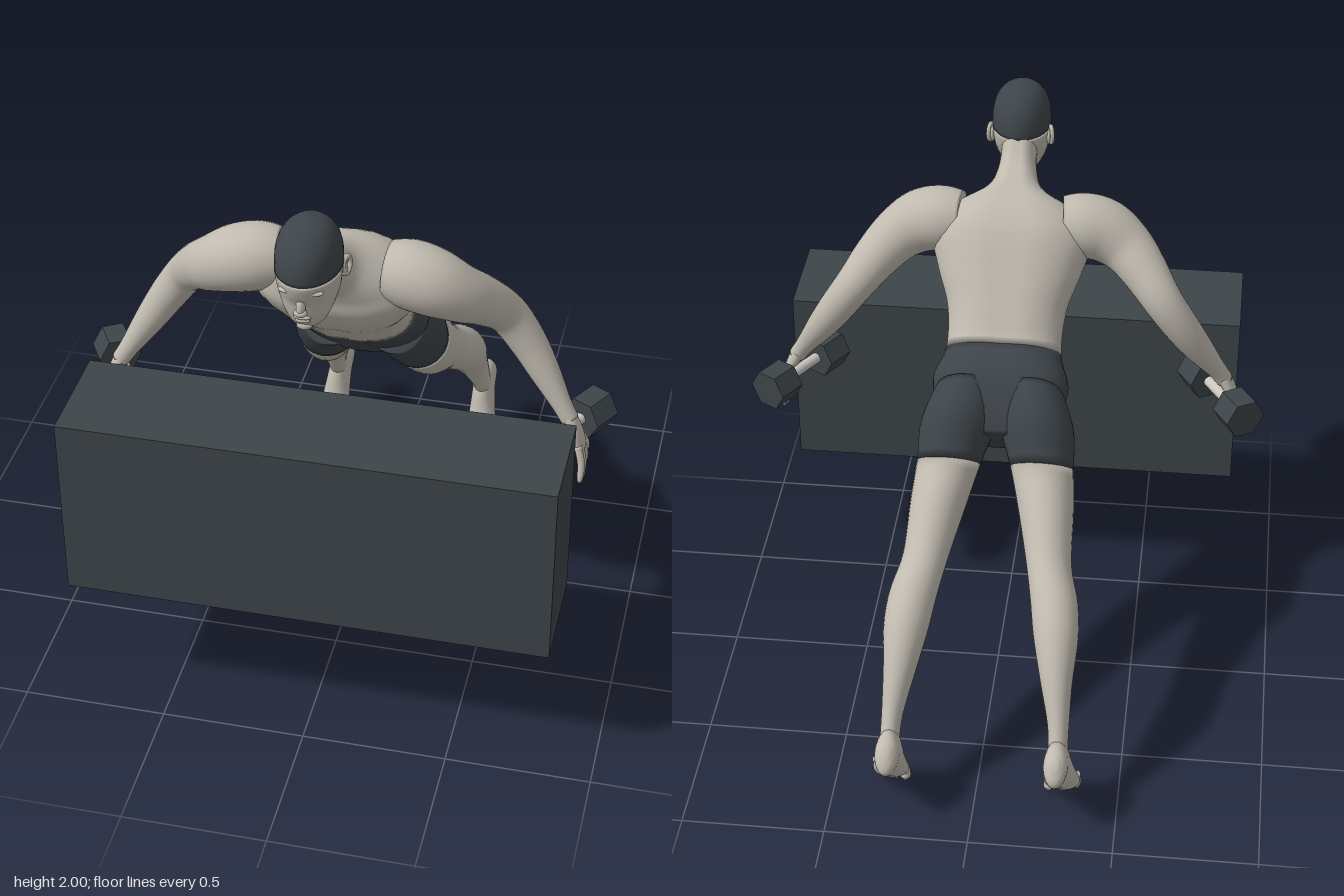
import * as THREE from 'three';

const skin = new THREE.MeshStandardMaterial({ color: 0xc0baaf });
skin.name = 'skin';
const dark = new THREE.MeshStandardMaterial({ color: 0x3e454a });
dark.name = 'dark slate';
const metal = new THREE.MeshStandardMaterial({ color: 0xcac6bf });
metal.name = 'pale metal';

const K = 5; // interpolated steps between two given rows
const SEG = 32;

// Catmull-Rom interpolation of rows of numbers
function smooth(rows) {
  const out = [];
  for (let i = 0; i < rows.length - 1; i++) {
    const p0 = rows[Math.max(i - 1, 0)], p1 = rows[i], p2 = rows[i + 1];
    const p3 = rows[Math.min(i + 2, rows.length - 1)];
    for (let k = 0; k < K; k++) {
      const t = k / K;
      out.push(p1.map((b, j) => {
        const a = p0[j], c = p2[j], d = p3[j];
        return 0.5 * (2 * b + (c - a) * t + (2 * a - 5 * b + 4 * c - d) * t * t + (3 * b - a - 3 * c + d) * t * t * t);
      }));
    }
  }
  out.push(rows[rows.length - 1]);
  return out;
}

// Closed skin over rings {c, u, v}; u x v points along the loft
function loft(rings, power = 1, groove = 0) {
  const pos = [], index = [], p = new THREE.Vector3();
  const bend = (x) => Math.sign(x) * Math.abs(x) ** power;
  for (const { c, u, v } of rings) {
    for (let i = 0; i < SEG; i++) {
      const a = (i / SEG) * Math.PI * 2;
      const side = Math.cos(a), face = Math.sin(a);
      const dent = 1 - groove * Math.exp(-((side / 0.22) ** 2)) * (face < 0 ? 1 : 0.6);
      p.copy(c).addScaledVector(u, bend(side)).addScaledVector(v, bend(face) * dent);
      pos.push(p.x, p.y, p.z);
    }
  }
  for (let r = 0; r < rings.length - 1; r++) {
    for (let i = 0; i < SEG; i++) {
      const a = r * SEG + i, b = r * SEG + (i + 1) % SEG;
      index.push(a, b, b + SEG, a, b + SEG, a + SEG);
    }
  }
  const last = (rings.length - 1) * SEG, n = rings.length * SEG;
  pos.push(...rings[0].c.toArray(), ...rings[rings.length - 1].c.toArray());
  for (let i = 0; i < SEG; i++) {
    const j = (i + 1) % SEG;
    index.push(n, j, i, n + 1, last + i, last + j);
  }
  const g = new THREE.BufferGeometry();
  g.setAttribute('position', new THREE.Float32BufferAttribute(pos, 3));
  g.setIndex(index);
  g.computeVertexNormals();
  return g;
}

// Rows: back z, back y, front z, front y, centre x, half width
function bodyRings(rows, s = 1) {
  return smooth(rows).map(([zb, yb, zf, yf, cx, hw]) => ({
    c: new THREE.Vector3(cx * s, (yb + yf) / 2, (zb + zf) / 2),
    u: new THREE.Vector3(hw, 0, 0),
    v: new THREE.Vector3(0, (yf - yb) / 2, (zf - zb) / 2),
  }));
}

// Rows: x, y, z, radius across z, radius across x
function limb(rows, s) {
  const pts = smooth(rows);
  const c = pts.map((r) => new THREE.Vector3(r[0] * s, r[1], r[2]));
  return loft(pts.map((r, i) => {
    const d = c[Math.min(i + 1, c.length - 1)].clone().sub(c[Math.max(i - 1, 0)]).normalize();
    const u = new THREE.Vector3(0, 0, 1).addScaledVector(d, -d.z).normalize();
    const v = d.clone().cross(u);
    return { c: c[i], u: u.multiplyScalar(r[3]), v: v.multiplyScalar(r[4] ?? r[3]) };
  }));
}

export function createModel() {
  const model = new THREE.Group();
  model.name = 'athleteAtBox';
  const add = (name, geometry, material, parent = model) => {
    const m = new THREE.Mesh(geometry, material);
    m.name = name;
    parent.add(m);
    return m;
  };
  const blob = (name, x, y, z, rx, ry, rz, tilt = 0) => {
    const m = add(name, new THREE.SphereGeometry(1, 20, 14), skin);
    m.position.set(x, y, z);
    m.scale.set(rx, ry, rz);
    m.rotation.x = tilt;
  };

  // Large box in front
  add('box', new THREE.BoxGeometry(1.66, 0.68, 0.38), dark).position.set(0, 0.83, 0.76);

  // Neck, torso and pelvis, split at the waistband
  const trunk = bodyRings([
    [0.67, 1.86, 0.79, 1.72, 0, 0.062],
    [0.60, 1.79, 0.70, 1.655, 0, 0.07],
    [0.51, 1.76, 0.63, 1.61, 0, 0.105],
    [0.42, 1.735, 0.60, 1.55, 0, 0.22],
    [0.33, 1.67, 0.585, 1.48, 0, 0.285],
    [0.24, 1.545, 0.52, 1.39, 0, 0.255],
    [0.17, 1.44, 0.41, 1.295, 0, 0.212],
    [0.10, 1.345, 0.26, 1.165, 0, 0.205],
    [0.00, 1.295, 0.15, 1.07, 0, 0.24],
    [-0.07, 1.18, 0.07, 0.99, 0, 0.20],
    [-0.10, 1.10, 0.02, 0.95, 0, 0.10],
  ]);
  add('torso', loft(trunk.slice(0, 7 * K + 1), 0.9, 0.07), skin);
  add('shortsPelvis', loft(trunk.slice(7 * K), 0.9, 0.07), dark);

  // Head, split at the hairline
  const head = bodyRings([
    [0.79, 2.0, 0.81, 2.0, 0, 0.008],
    [0.735, 1.985, 0.87, 1.985, 0, 0.055],
    [0.695, 1.95, 0.912, 1.95, 0, 0.087],
    [0.668, 1.90, 0.942, 1.90, 0, 0.103],
    [0.66, 1.84, 0.95, 1.835, 0, 0.106],
    [0.672, 1.80, 0.938, 1.79, 0, 0.102],
    [0.70, 1.76, 0.918, 1.75, 0, 0.096],
    [0.735, 1.71, 0.905, 1.70, 0, 0.080],
    [0.77, 1.67, 0.885, 1.655, 0, 0.058],
    [0.80, 1.645, 0.86, 1.632, 0, 0.028],
  ]);
  add('hairCap', loft(head.slice(0, 4 * K + 1)), dark);
  add('face', loft(head.slice(4 * K)), skin);
  blob('nose', 0, 1.748, 0.92, 0.015, 0.036, 0.018, -0.2);
  blob('noseTip', 0, 1.728, 0.925, 0.022, 0.014, 0.017);
  blob('upperLip', 0, 1.699, 0.904, 0.028, 0.008, 0.011);
  blob('lowerLip', 0, 1.684, 0.899, 0.024, 0.008, 0.010);
  blob('chin', 0, 1.652, 0.876, 0.026, 0.017, 0.017);

  for (const s of [1, -1]) {
    const side = s > 0 ? 'left' : 'right';

    blob(side + 'Brow', 0.04 * s, 1.805, 0.918, 0.032, 0.01, 0.016);
    blob(side + 'Eyelid', 0.04 * s, 1.78, 0.901, 0.018, 0.010, 0.014);

    // Ear: rim and lobe
    const ear = add(side + 'Ear', new THREE.TorusGeometry(0.024, 0.008, 8, 20), skin);
    ear.position.set(0.109 * s, 1.818, 0.762);
    ear.rotation.y = Math.PI / 2 - 0.35 * s;
    ear.scale.set(0.85, 1.25, 1);
    blob(side + 'EarBowl', 0.103 * s, 1.81, 0.765, 0.01, 0.032, 0.021);

    // Leg, split at the hem of the shorts
    const leg = bodyRings([
      [-0.01, 1.28, 0.13, 1.04, 0.115, 0.112],
      [-0.11, 1.19, 0.055, 0.96, 0.14, 0.13],
      [-0.18, 1.04, -0.02, 0.88, 0.165, 0.112],
      [-0.28, 0.945, -0.14, 0.77, 0.19, 0.098],
      [-0.42, 0.81, -0.30, 0.685, 0.215, 0.08],
      [-0.53, 0.735, -0.42, 0.60, 0.245, 0.083],
      [-0.62, 0.655, -0.52, 0.52, 0.26, 0.078],
      [-0.71, 0.53, -0.63, 0.42, 0.272, 0.056],
      [-0.795, 0.37, -0.71, 0.32, 0.288, 0.037],
      [-0.85, 0.28, -0.765, 0.25, 0.292, 0.034],
    ], s);
    add(side + 'ShortsLeg', loft(leg.slice(0, 2 * K + 1)), dark);
    add(side + 'Leg', loft(leg.slice(2 * K)), skin);

    // Foot from heel to ball, then toes
    add(side + 'Foot', loft(bodyRings([
      [-0.925, 0.30, -0.90, 0.325, 0.29, 0.014],
      [-0.945, 0.24, -0.84, 0.34, 0.29, 0.040],
      [-0.89, 0.18, -0.76, 0.29, 0.292, 0.043],
      [-0.82, 0.115, -0.728, 0.19, 0.297, 0.052],
      [-0.765, 0.06, -0.70, 0.105, 0.302, 0.063],
      [-0.735, 0.04, -0.69, 0.07, 0.303, 0.058],
    ], s)), skin);
    for (let i = 0; i < 5; i++) {
      const r = i ? 0.0125 : 0.018, x = 0.255 + (i ? 0.008 : 0) + i * 0.023, lift = i * 0.006;
      add(side + 'Toe' + (i + 1), limb([
        [x, 0.085 + lift, -0.73, r],
        [x, 0.045 + lift, -0.706, r],
        [x, 0.02 + lift, -0.708, r],
        [x, 0.006 + lift, -0.715, 0.003],
      ], s), skin);
    }

    // Arm from shoulder to wrist
    add(side + 'Arm', limb([
      [0.18, 1.62, 0.47, 0.10],
      [0.25, 1.617, 0.475, 0.115],
      [0.33, 1.597, 0.477, 0.113],
      [0.41, 1.55, 0.45, 0.097],
      [0.48, 1.49, 0.39, 0.083],
      [0.55, 1.41, 0.33, 0.070],
      [0.62, 1.31, 0.325, 0.063],
      [0.685, 1.21, 0.345, 0.052],
      [0.75, 1.11, 0.375, 0.035],
      [0.785, 1.055, 0.388, 0.031],
    ], s), skin);

    // Hand: palm, four spread fingers and thumb
    add(side + 'Palm', limb([
      [0.775, 1.075, 0.383, 0.03, 0.026],
      [0.805, 1.02, 0.39, 0.044, 0.022],
      [0.825, 0.96, 0.388, 0.047, 0.018],
      [0.832, 0.935, 0.388, 0.035, 0.01],
    ], s), skin);
    [[0.352, 0.325, 0.885], [0.376, 0.352, 0.85], [0.40, 0.402, 0.825], [0.424, 0.452, 0.845]].forEach(([z0, z1, y], i) =>
      add(side + 'Finger' + (i + 1), limb([
        [0.822, 0.975, z0, 0.013],
        [0.838, (0.975 + y) / 2, (z0 + z1) / 2, 0.0125],
        [0.838, y + 0.012, z1, 0.010],
        [0.836, y, z1, 0.003],
      ], s), skin));
    add(side + 'Thumb', limb([
      [0.79, 1.04, 0.405, 0.018],
      [0.79, 0.99, 0.445, 0.015],
      [0.80, 0.945, 0.468, 0.011],
      [0.80, 0.932, 0.472, 0.003],
    ], s), skin);

    // Dumbbell with six-sided heads
    const bell = new THREE.Group();
    bell.name = side + 'Dumbbell';
    bell.position.set(0.77 * s, 1.003, 0.378);
    bell.rotation.y = Math.atan2(-0.14 * s, 0.235);
    model.add(bell);
    add('handle', new THREE.CylinderGeometry(0.02, 0.02, 0.2, 20).rotateX(Math.PI / 2), metal, bell);
    for (const e of [1, -1]) {
      const hex = new THREE.CylinderGeometry(0.075, 0.075, 0.108, 6).rotateY(Math.PI / 6).rotateX(Math.PI / 2).toNonIndexed();
      hex.computeVertexNormals();
      add('weight', hex, dark, bell).position.z = 0.137 * e;
    }
  }
  return model;
}
